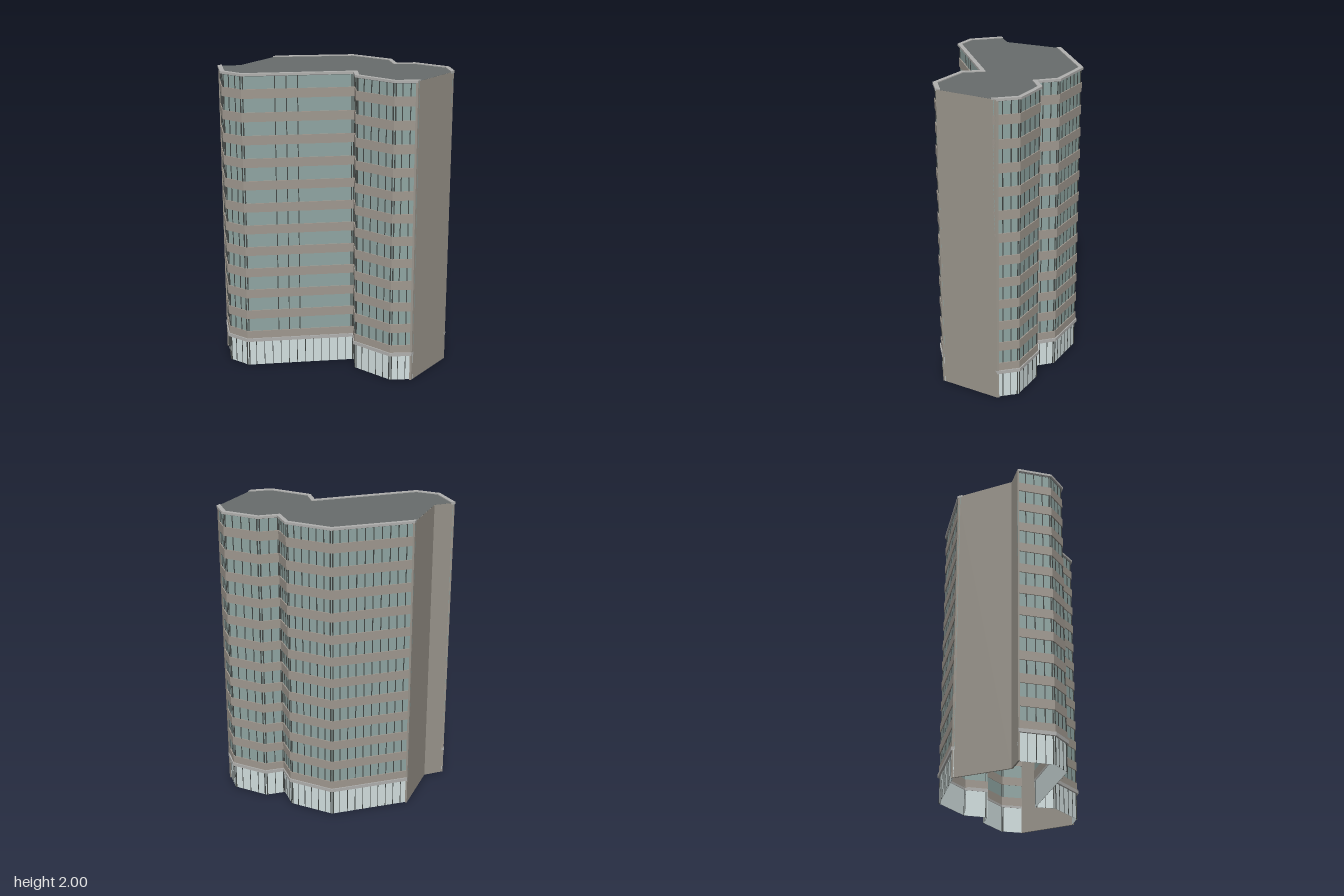
import * as THREE from 'three';
import { mergeGeometries } from 'three/addons/utils/BufferGeometryUtils.js';

// Plan outline [x, z]; a run of glazed faces lies on each long side, plain walls between
const PLAN = [
  [-0.766, -0.02], [-0.622, -0.05], [-0.42, -0.402], [0.105, -0.48], [0.368, -0.305],
  [0.4, -0.16], [0.523, -0.177], [0.737, -0.033], [0.763, 0.112], [0.522, 0.462],
  [0.38, 0.476], [0.137, 0.297], [0.125, 0.176], [-0.577, 0.297], [-0.717, 0.205],
];
const N = PLAN.length;
const FACADES = [[2, 3, 4, 5, 6, 7, 8], [9, 10, 11, 12, 13, 14, 0]];
const PLAIN_WALLS = [[8, 9], [0, 1, 2]];
const PLAIN_EDGES = [0, 1, 8];
const FLOORS = 12, PITCH = 0.15, BASE = 0.19;

const mat = (color) => new THREE.MeshStandardMaterial({ color, side: THREE.DoubleSide });
const MAT = {
  wall: mat(0x99948b), spandrel: mat(0x9f988f), glass: mat(0x8fa5a2), lobby: mat(0xd2dfdf),
  frame: mat(0x444846), trim: mat(0xb0b0ae), roof: mat(0x676c6c),
};

// Plan moved inwards: facade edges by f, plain edges by p
function inset(f, p = 0) {
  const line = (i) => {
    const a = PLAN[i], b = PLAN[(i + 1) % N];
    const dx = b[0] - a[0], dz = b[1] - a[1], l = Math.hypot(dx, dz);
    const n = [dz / l, -dx / l];
    return [...n, n[0] * a[0] + n[1] * a[1] - (PLAIN_EDGES.includes(i) ? p : f)];
  };
  return PLAN.map((_, i) => {
    const [a, b, c] = line((i + N - 1) % N), [d, e, g] = line(i);
    const det = a * e - b * d;
    return [(c * e - b * g) / det, (a * g - c * d) / det];
  });
}

// Prism over a plan polygon between two heights
function prism(points, y0, y1) {
  const shape = new THREE.Shape(points.map(([x, z]) => new THREE.Vector2(x, -z)));
  const g = new THREE.ExtrudeGeometry(shape, { depth: y1 - y0, bevelEnabled: false });
  return g.rotateX(-Math.PI / 2).translate(0, y0, 0);
}

// Strip following a run of corners, between two inset plans
function strip(run, outer, inner, y0, y1) {
  return prism([...run.map((i) => outer[i]), ...[...run].reverse().map((i) => inner[i])], y0, y1);
}

// Upright bars along one face at the given fractions
function bars(a, b, fractions, width, depth, y0, y1) {
  const angle = -Math.atan2(b[1] - a[1], b[0] - a[0]);
  return fractions.map((t) => new THREE.BoxGeometry(width, y1 - y0, depth)
    .rotateY(angle)
    .translate(a[0] + (b[0] - a[0]) * t, (y0 + y1) / 2, a[1] + (b[1] - a[1]) * t));
}

const even = (a, b, pitch) => {
  const n = Math.max(2, Math.round(Math.hypot(b[0] - a[0], b[1] - a[1]) / pitch));
  return Array.from({ length: n - 1 }, (_, i) => (i + 1) / n);
};

export function createModel() {
  const group = new THREE.Group();
  const add = (name, geometries, material) => {
    const mesh = new THREE.Mesh(mergeGeometries(geometries), material);
    mesh.name = name;
    group.add(mesh);
  };

  const edge = inset(0), face = inset(0.007), pane = inset(0.014), paneBack = inset(0.017);
  const backing = inset(0.02), capInner = inset(0.028);
  const TOP = 1.99;

  // Floor bands, windows and ground floor glazing
  const both = (fn) => FACADES.map(fn);
  const bands = [];
  for (let k = 0; k < FLOORS; k++) {
    const y = BASE + k * PITCH;
    bands.push(...both((run) => strip(run, face, backing, y, y + 0.06)));
  }
  add('spandrelBands', bands, MAT.spandrel);
  add('windowGlass', both((run) => strip(run, pane, paneBack, BASE, TOP)), MAT.glass);
  add('lobbyGlass', both((run) => strip(run, pane, paneBack, 0, 0.18)), MAT.lobby);
  add('lobbyLedge', both((run) => strip(run, edge, backing, 0.175, 0.198)), MAT.trim);
  add('parapetCap', both((run) => strip(run, edge, capInner, 1.985, 2)), MAT.trim);

  // Window and lobby mullions, with posts at the corners
  const mullions = [], lobbyMullions = [], posts = [];
  for (const run of FACADES) {
    for (let j = 0; j < run.length - 1; j++) {
      const i = run[j], a = pane[i], b = pane[run[j + 1]];
      const wide = i === 12; // the long front face has broad panes
      const spots = wide ? [0.03, 0.51, 0.61, 0.71] : even(a, b, 0.055);
      mullions.push(...bars(a, b, spots, 0.006, 0.005, BASE, TOP));
      lobbyMullions.push(...bars(a, b, even(a, b, 0.055), 0.004, 0.005, 0, 0.18));
      const inPost = 0.008 / Math.hypot(b[0] - a[0], b[1] - a[1]);
      posts.push(...bars(a, b, [inPost, 1 - inPost], 0.008, 0.006, 0, TOP));
    }
  }
  add('windowMullions', mullions, MAT.frame);
  add('lobbyMullions', lobbyMullions, MAT.frame);
  add('cornerPosts', posts, MAT.frame);

  // Plain end walls
  const plainOuter = inset(0.004), plainInner = inset(0.004, 0.01);
  add('plainWalls', PLAIN_WALLS.map((run) => strip(run, plainOuter, plainInner, 0, 1.993)), MAT.wall);

  // Flat roof
  add('roof', [prism(inset(0.012, 0.001), 1.98, 1.994)], MAT.roof);

  return group;
}
